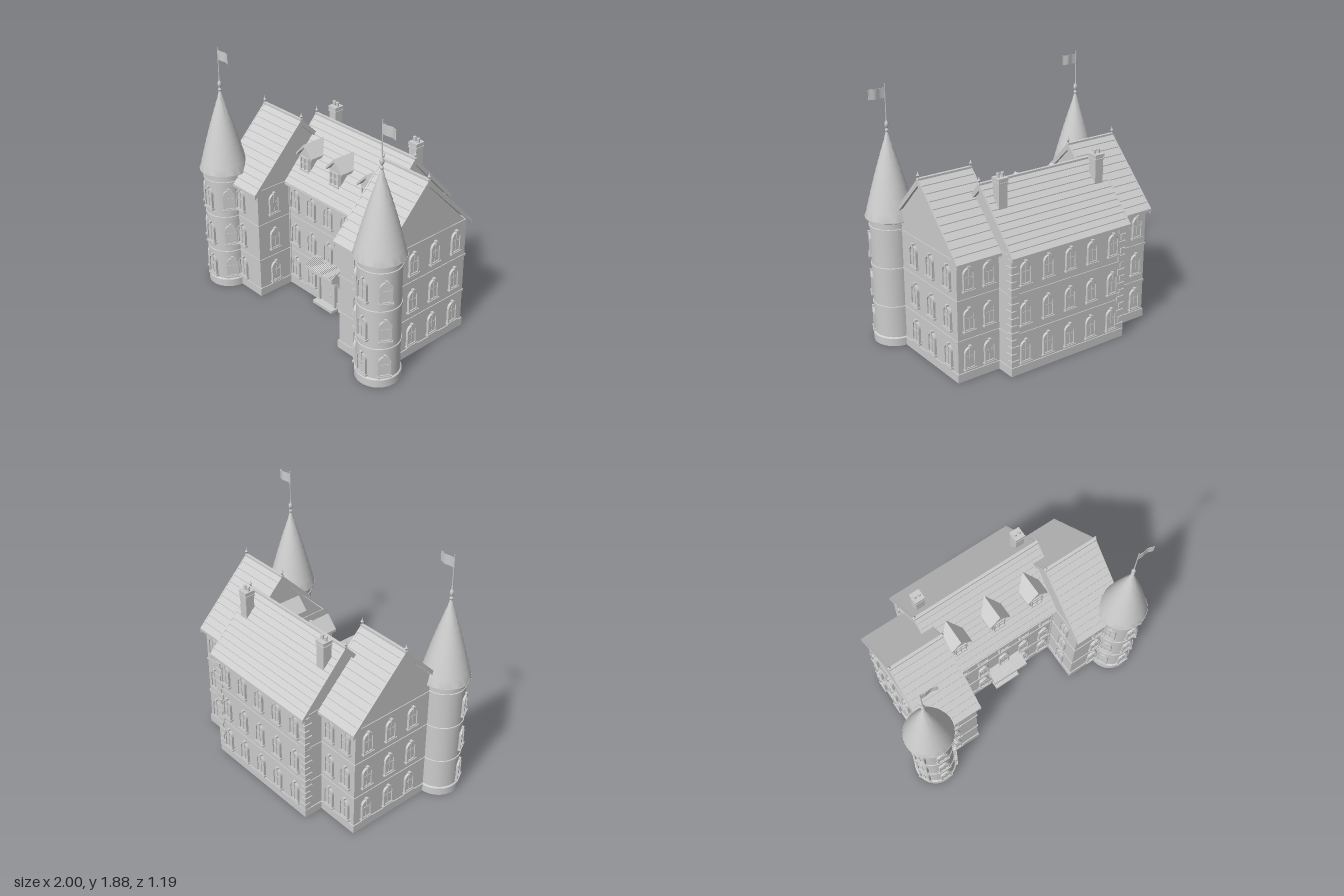
import * as THREE from 'three';
import { mergeGeometries, toCreasedNormals } from 'three/addons/utils/BufferGeometryUtils.js';

const stone = new THREE.MeshStandardMaterial({ color: 0xcccccc });
stone.name = 'pale grey stone';

const box = (w, h, d, x, y, z) => new THREE.BoxGeometry(w, h, d).translate(x, y, z);
const shapeOf = (pts) => new THREE.Shape(pts.map(([x, y]) => new THREE.Vector2(x, y)));
const extrude = (shape, depth, curveSegments = 8) =>
  new THREE.ExtrudeGeometry(shape, { depth, bevelEnabled: false, curveSegments });
// Profile given in (z, y), swept from x0 to x1
const sweepX = (pts, x0, x1, zc) =>
  extrude(shapeOf(pts), x1 - x0).rotateY(Math.PI / 2).translate(x0, 0, zc);
const lathe = (pts, seg = 32) => toCreasedNormals(
  new THREE.LatheGeometry(pts.map(([r, y]) => new THREE.Vector2(r, y)), seg), 0.6);
const merge = (list) => mergeGeometries(list.map((g) => (g.index ? g.toNonIndexed() : g)));

function add(parent, name, geometry, x = 0, y = 0, z = 0, ry = 0) {
  const mesh = new THREE.Mesh(geometry, stone);
  mesh.name = name;
  mesh.position.set(x, y, z);
  mesh.rotation.y = ry;
  parent.add(mesh);
  return mesh;
}

// Outline with a straight foot and a round head, centred on x = 0
function arch(Kind, w, y0, spring) {
  const s = new Kind();
  s.moveTo(-w, y0);
  s.lineTo(w, y0);
  s.lineTo(w, spring);
  s.absarc(0, spring, w, 0, Math.PI, false);
  s.lineTo(-w, y0);
  return s;
}

function archedWindow() {
  const frame = arch(THREE.Shape, 0.043, 0.012, 0.127);
  frame.holes.push(arch(THREE.Path, 0.033, 0.02, 0.127));
  return merge([
    extrude(frame, 0.018),
    extrude(arch(THREE.Shape, 0.034, 0.018, 0.127), 0.009),
    box(0.1, 0.012, 0.026, 0, 0.006, 0.011),
    box(0.018, 0.024, 0.022, 0, 0.171, 0.011),
    box(0.006, 0.14, 0.013, 0, 0.09, 0.0065),
    box(0.066, 0.006, 0.013, 0, 0.1, 0.0065),
  ]);
}

// Pitched roof with overlapping tile courses
function tiledRoof(x0, x1, zc, ridge, half, eave, n = 11) {
  const side = [];
  for (let i = 0; i < n; i++) {
    const at = (k) => [half * k / n, ridge + (eave - ridge) * k / n];
    const [a, b] = [at(i), at(i + 1)];
    side.push(a, [b[0], b[1] + 0.006]);
  }
  const left = side.slice(1).reverse().map(([u, v]) => [-u, v]);
  const pts = [...left, ...side, [half, eave - 0.015], [0, ridge - 0.045], [-half, eave - 0.015]];
  return sweepX(pts, x0, x1, zc);
}
const chevron = (half, ridge, eave, t) => [
  [-half, eave], [0, ridge], [half, eave], [half, eave - t], [0, ridge - t * 1.3], [-half, eave - t]];
const house = (half, y0, eave, apex) => [[-half, y0], [half, y0], [half, eave], [0, apex], [-half, eave]];

const finial = () => lathe([[0, 0], [0.008, 0], [0.004, 0.012], [0.011, 0.027], [0.004, 0.04], [0, 0.062]], 10);

// Gabled block: walls, plinth, string courses, roof, bargeboards, ridge and finials
function block(name, x0, x1, zc, half, ridge, roofHalf, eave, over) {
  const g = new THREE.Group();
  g.name = name;
  const w = x1 - x0, xc = (x0 + x1) / 2;
  const wallEave = ridge - 0.04 - half * (ridge - eave) / roofHalf;
  add(g, 'walls', sweepX(house(half, 0, wallEave, ridge - 0.04), x0, x1, zc));
  add(g, 'plinth', box(w + 0.016, 0.062, half * 2 + 0.016, xc, 0.031, zc));
  for (const y of [0.3, 0.595, 0.878])
    add(g, 'stringCourse', box(w + 0.012, 0.016, half * 2 + 0.012, xc, y, zc));
  add(g, 'tiledRoof', tiledRoof(x0 - over, x1 + over, zc, ridge, roofHalf, eave));
  for (const x of [x0 - over, x1 + over - 0.012]) {
    add(g, 'bargeboard', sweepX(chevron(roofHalf, ridge + 0.005, eave + 0.004, 0.036), x, x + 0.012, zc));
    add(g, 'finial', finial(), x + 0.006, ridge, zc);
  }
  add(g, 'ridgeCap', box(w + over * 2, 0.014, 0.022, xc, ridge, zc));
  return g;
}

function tower() {
  const g = new THREE.Group();
  g.name = 'cornerTower';
  const body = [[0, 0], [0.161, 0], [0.161, 0.058], [0.15, 0.066]];
  for (const y of [0.295, 0.59, 0.88])
    body.push([0.15, y - 0.008], [0.156, y - 0.006], [0.156, y + 0.01], [0.15, y + 0.012]);
  body.push([0.15, 0.94]);
  add(g, 'towerWall', lathe(body, 40));
  // Slightly flared courses of the conical roof
  const cone = [[0.148, 0.93], [0.18, 0.945], [0.18, 0.952]], n = 11;
  for (let i = 0; i < n; i++) {
    const r = (k) => 0.176 * (1 - k / n) + 0.007 * Math.sin(Math.PI * k / n);
    const y = (k) => 0.952 + 0.61 * k / n;
    cone.push([r(i) + 0.002, y(i)], [Math.max(r(i + 1) - 0.001, 0.004), y(i + 1)]);
  }
  add(g, 'conicalRoof', lathe(cone, 40));
  add(g, 'towerFinial', lathe([[0.006, 1.54], [0.013, 1.56], [0.006, 1.575], [0.014, 1.592], [0.014, 1.61],
    [0.005, 1.628], [0.004, 1.66]], 14));
  add(g, 'flagpole', new THREE.CylinderGeometry(0.0035, 0.0045, 0.3, 8), 0, 1.73, 0);
  const flag = new THREE.BoxGeometry(0.12, 0.07, 0.003, 14, 1, 1);
  const p = flag.attributes.position;
  for (let i = 0; i < p.count; i++) {
    const t = p.getX(i) / 0.12 + 0.5;
    p.setZ(i, p.getZ(i) + 0.008 * t * Math.sin(t * 8));
  }
  flag.computeVertexNormals();
  add(g, 'flag', flag, 0.062, 1.82, 0);
  return g;
}

function dormer() {
  const g = new THREE.Group();
  g.name = 'dormer';
  add(g, 'dormerWalls', extrude(shapeOf(house(0.056, 0.96, 1.095, 1.165)), 0.165).translate(0, 0, -0.11));
  add(g, 'dormerRoof', extrude(shapeOf(chevron(0.084, 1.19, 1.1, 0.018)), 0.215).translate(0, 0, -0.145));
  add(g, 'dormerFrame', merge([
    ...[-0.041, 0, 0.041].map((x) => box(x ? 0.01 : 0.006, 0.105, 0.014, x, 1.03, 0.058)),
    ...[1.083, 1.035].map((y) => box(0.09, 0.008, 0.014, 0, y, 0.058)),
    box(0.1, 0.012, 0.022, 0, 0.98, 0.06)]));
  return g;
}

function chimney() {
  const parts = [box(0.068, 0.35, 0.07, 0, 1.15, 0), box(0.078, 0.012, 0.08, 0, 1.312, 0),
    box(0.078, 0.022, 0.08, 0, 1.338, 0)];
  for (const x of [-0.017, 0.017])
    parts.push(new THREE.CylinderGeometry(0.01, 0.012, 0.036, 10).translate(x, 1.362, 0),
      new THREE.CylinderGeometry(0.013, 0.013, 0.008, 10).translate(x, 1.376, 0));
  return merge(parts);
}

function entrance() {
  const g = new THREE.Group();
  g.name = 'entrance';
  const surround = arch(THREE.Shape, 0.092, 0, 0.2);
  surround.holes.push(arch(THREE.Path, 0.074, 0.002, 0.2));
  add(g, 'doorSurround', extrude(surround, 0.028, 14));
  add(g, 'door', extrude(arch(THREE.Shape, 0.075, 0.01, 0.2), 0.012, 14));
  add(g, 'doorSeam', box(0.003, 0.25, 0.014, 0, 0.14, 0.007));
  add(g, 'doorKnob', new THREE.SphereGeometry(0.009, 10, 8), 0.04, 0.11, 0.018);
  for (let i = -2; i <= 2; i++)
    add(g, 'doorStud', new THREE.SphereGeometry(0.004, 6, 5), i * 0.028 + 0.003, 0.165, 0.012);
  add(g, 'doorstep', box(0.21, 0.022, 0.07, 0, 0.011, 0.035));
  // Sloping canopy with ribs, front beam and brackets
  add(g, 'canopy', sweepX([[0, 0.3], [0, 0.375], [-0.105, 0.325], [-0.105, 0.3]], -0.143, 0.143, 0));
  for (let i = 0; i <= 20; i++) {
    const rib = add(g, 'canopyRib', new THREE.BoxGeometry(0.006, 0.008, 0.114), -0.14 + i * 0.014, 0.352, 0.052);
    rib.rotation.x = Math.atan2(0.05, 0.105);
  }
  add(g, 'canopyBeam', box(0.294, 0.018, 0.012, 0, 0.307, 0.102));
  for (const s of [-1, 1])
    add(g, 'canopyBracket', sweepX([[0, 0.2], [0, 0.3], [-0.09, 0.3], [-0.085, 0.283], [-0.035, 0.265], [-0.015, 0.21]],
      s * 0.127 - 0.009, s * 0.127 + 0.009, 0));
  return g;
}

export function createModel() {
  const castle = new THREE.Group();
  castle.name = 'castle';
  const frontZ = 0.118, backZ = -0.558;
  castle.add(block('mainHall', -0.488, 0.488, -0.22, 0.338, 1.288, 0.378, 0.878, 0.022));

  const windowGeo = archedWindow();
  const sills = [0.078, 0.36, 0.655];
  const windows = new THREE.Group();
  windows.name = 'windows';
  castle.add(windows);
  const column = (x, z, ry, from = 0) => sills.slice(from).forEach((y) => add(windows, 'archedWindow', windowGeo, x, y, z, ry));

  for (let i = -2; i <= 2; i++) {
    column(i * 0.18, frontZ, 0, i === 0 ? 1 : 0);
    column(i * 0.19, backZ, Math.PI);
  }

  for (const s of [-1, 1]) {
    const [x0, x1] = s > 0 ? [0.435, 0.822] : [-0.822, -0.435];
    castle.add(block(s > 0 ? 'leftWing' : 'rightWing', x0, x1, 0, 0.412, 1.33, 0.45, 0.868, 0.02));
    const t = tower();
    t.position.set(s * 0.82, 0, 0.412);
    castle.add(t);

    column(s * 0.63, 0.412, 0);
    for (const x of [0.575, 0.735]) column(s * x, -0.412, Math.PI);
    for (const z of [0.105, -0.1, -0.305]) column(s * 0.822, z, s * Math.PI / 2);
    column(s * 0.435, 0.27, -s * Math.PI / 2);
    for (const a of [-1.08, 0, 1.08])
      column(s * 0.82 + Math.sin(a) * 0.144, 0.412 + Math.cos(a) * 0.144, a);

    add(castle, 'chimney', chimney(), s * 0.41, 0, -0.325);
    add(castle, 'downpipe', new THREE.CylinderGeometry(0.006, 0.006, 0.86, 8), s * 0.425, 0.43, frontZ + 0.008);

    // Alternating corner stones at the back of the main hall
    for (let i = 0; i < 15; i++) {
      const [w, d] = i % 2 ? [0.045, 0.065] : [0.065, 0.045];
      add(castle, 'cornerStone', box(w, 0.044, d, s * (0.497 - w / 2), 0.09 + i * 0.0535, backZ - 0.009 + d / 2));
    }
  }

  for (const x of [-0.32, 0, 0.32]) {
    const d = dormer();
    d.position.x = x;
    castle.add(d);
  }
  add(castle, 'frontGutter', box(0.85, 0.014, 0.016, 0, 0.871, 0.158));
  const e = entrance();
  e.position.z = frontZ;
  castle.add(e);
  return castle;
}
